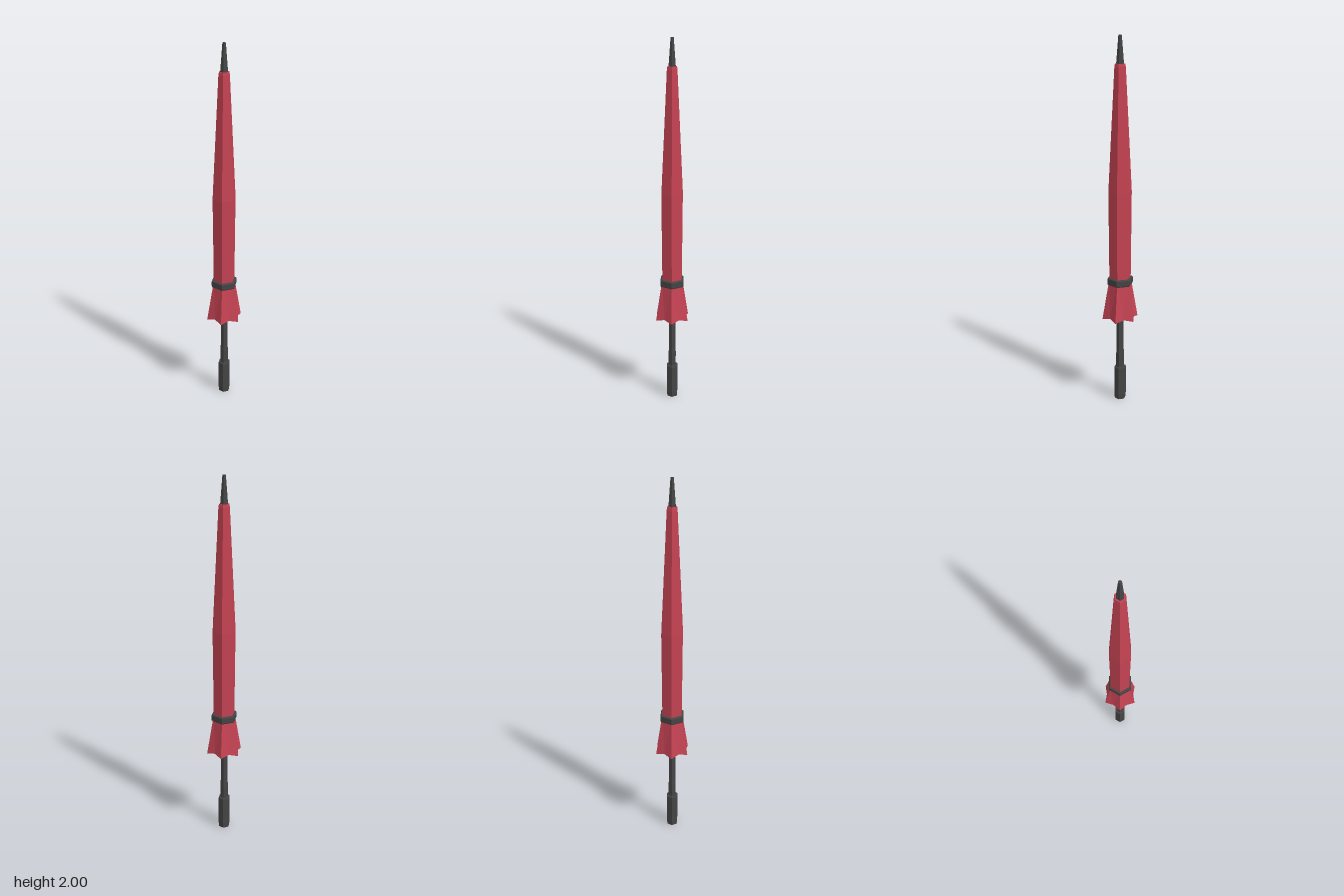
import * as THREE from 'three';

const red = new THREE.MeshStandardMaterial({ color: 0xc64353 });
red.name = 'red fabric';
const grey = new THREE.MeshStandardMaterial({ color: 0x454545 });
grey.name = 'dark grey';

// Faceted loft through rings of 12 points: hexagon corners and side middles.
// Each ring is [y, corner radius, middle radius, rise of the middles].
function hexLoft(name, rings, material) {
  const point = ([y, r, mid = r * Math.cos(Math.PI / 6), rise = 0], i) => {
    const a = (i * Math.PI) / 6;
    const radius = i % 2 ? mid : r;
    return [Math.cos(a) * radius, y + (i % 2 ? rise : 0), Math.sin(a) * radius];
  };
  const positions = [];
  for (let k = 0; k < rings.length - 1; k++) {
    for (let i = 0; i < 12; i++) {
      const a = point(rings[k], i), b = point(rings[k], i + 1);
      const c = point(rings[k + 1], i), d = point(rings[k + 1], i + 1);
      // Mirror the diagonal on alternate panels so folds are symmetrical
      if (i % 2) positions.push(...a, ...b, ...c, ...b, ...d, ...c);
      else positions.push(...a, ...b, ...d, ...a, ...d, ...c);
    }
  }
  const geometry = new THREE.BufferGeometry();
  geometry.setAttribute('position', new THREE.Float32BufferAttribute(positions, 3));
  geometry.computeVertexNormals();
  const mesh = new THREE.Mesh(geometry, material);
  mesh.name = name;
  return mesh;
}

export function createModel() {
  const umbrella = new THREE.Group();
  umbrella.name = 'closedUmbrella';

  // Furled canopy, flaring into a six-pointed hem with a closed underside
  umbrella.add(hexLoft('canopy', [
    [1.86, 0.01], [1.86, 0.027], [1.845, 0.03], [1.2, 0.064], [0.72, 0.06],
    [0.49, 0.1, 0.078, 0.012], [0.515, 0.015],
  ], red));

  // Strap around the canopy
  umbrella.add(hexLoft('strap', [
    [0.725, 0.055], [0.725, 0.067], [0.72, 0.072], [0.69, 0.072], [0.685, 0.067], [0.685, 0.055],
  ], grey));

  // Pointed ferrule
  umbrella.add(hexLoft('ferrule', [[2, 0], [2, 0.009], [1.855, 0.021]], grey));

  // Shaft with a slightly thicker lower sleeve
  umbrella.add(hexLoft('shaft', [[0.6, 0.02], [0.31, 0.02], [0.27, 0.023], [0.18, 0.023]], grey));

  // Straight handle
  umbrella.add(hexLoft('handle', [
    [0.195, 0], [0.195, 0.032], [0.188, 0.034], [0.03, 0.034], [0, 0.031], [0, 0],
  ], grey));

  return umbrella;
}
